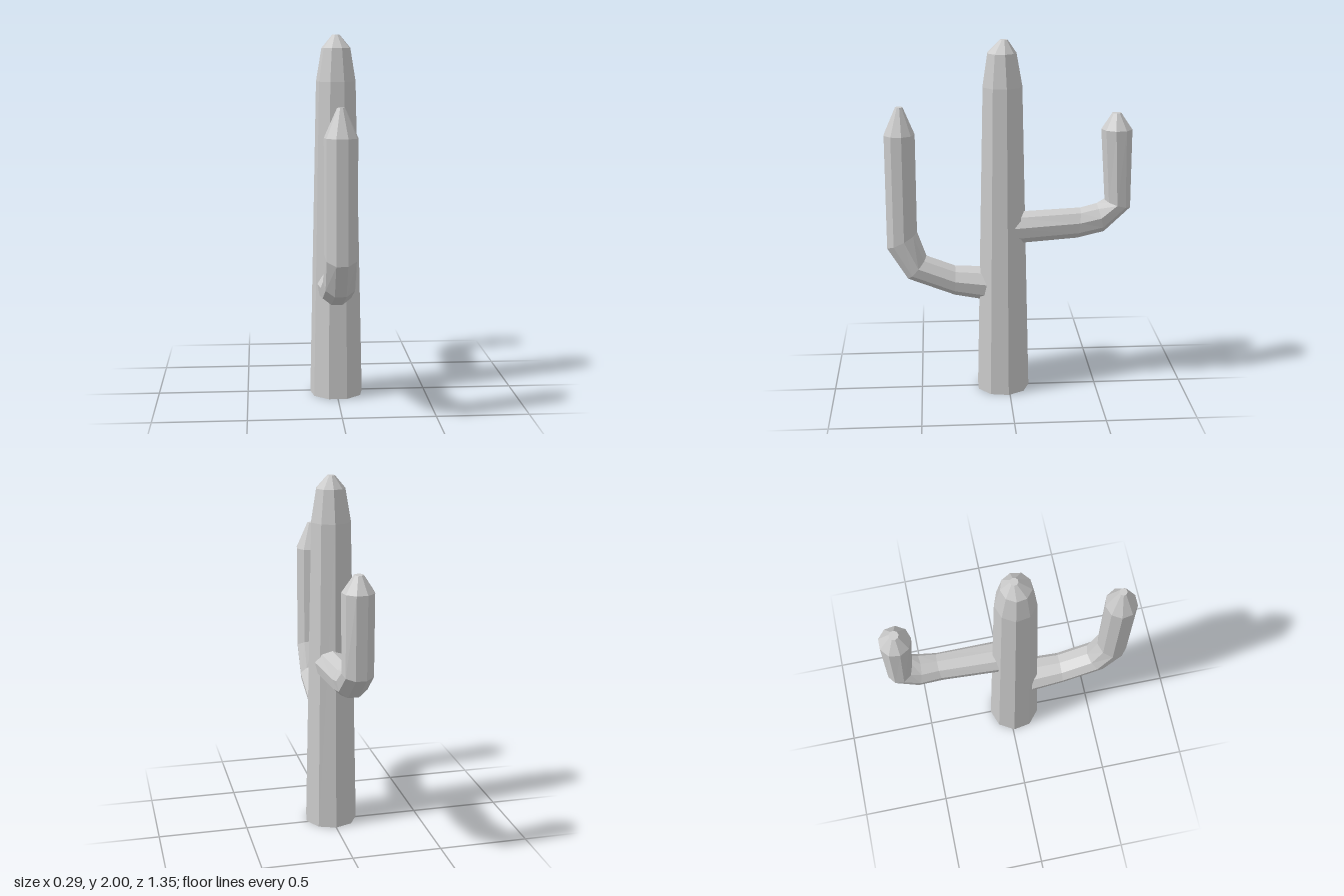
import * as THREE from 'three';

const SIDES = 9;
const FLAT = Math.cos(Math.PI / SIDES); // apothem of a unit ring

// Each ring: [outer z, outer y, inner z, inner y, centre x, half width].
// The outer point is the middle of a flat side, the inner point a corner.
function makeLimb(name, rings, dir, material) {
  const loops = rings.map(([oz, oy, iz, iy, cx, r]) => {
    const t = FLAT / (1 + FLAT);
    const dz = (iz - oz) / (1 + FLAT), dy = (iy - oy) / (1 + FLAT);
    const cz = oz + (iz - oz) * t, cy = oy + (iy - oy) * t;
    const points = [];
    for (let i = 0; i < SIDES; i++) {
      const a = (i / SIDES) * Math.PI * 2;
      const c = Math.cos(a);
      points.push(new THREE.Vector3(cx + dir * r * Math.sin(a), cy + dy * c, cz + dz * c));
    }
    return points;
  });

  const tris = [];
  for (let k = 0; k < loops.length - 1; k++) {
    const a = loops[k], b = loops[k + 1];
    for (let i = 0; i < SIDES; i++) {
      const j = (i + 1) % SIDES;
      tris.push(a[i], a[j], b[j], a[i], b[j], b[i]);
    }
  }
  // End caps
  const first = loops[0], last = loops[loops.length - 1];
  for (let i = 1; i < SIDES - 1; i++) {
    tris.push(first[0], first[i + 1], first[i]);
    tris.push(last[0], last[i], last[i + 1]);
  }

  const geometry = new THREE.BufferGeometry().setFromPoints(tris);
  geometry.computeVertexNormals();
  const mesh = new THREE.Mesh(geometry, material);
  mesh.name = name;
  return mesh;
}

export function createModel() {
  const group = new THREE.Group();
  group.name = 'cactus';
  const material = new THREE.MeshStandardMaterial({ color: 0xcccccc, flatShading: true });

  // Tapered trunk with a blunt tip
  group.add(makeLimb('trunk', [
    [0.175, 0, -0.116, 0, 0, 0.149],
    [0.138, 1.75, -0.075, 1.75, -0.002, 0.11],
    [0.112, 1.93, -0.043, 1.93, -0.002, 0.08],
    [0.046, 2, 0.005, 2, -0.002, 0.021],
  ], -1, material));

  // Low arm reaching forward, then up
  group.add(makeLimb('frontArm', [
    [0.12, 0.535, 0.12, 0.725, -0.012, 0.1],
    [0.305, 0.568, 0.3, 0.732, -0.015, 0.089],
    [0.565, 0.67, 0.46, 0.795, -0.014, 0.088],
    [0.677, 0.85, 0.51, 0.935, -0.014, 0.088],
    [0.677, 1.49, 0.51, 1.49, -0.014, 0.088],
    [0.612, 1.64, 0.572, 1.64, -0.014, 0.021],
  ], -1, material));

  // High arm reaching back, then up
  group.add(makeLimb('backArm', [
    [-0.03, 0.875, -0.03, 1.05, 0.015, 0.088],
    [-0.38, 0.9, -0.4, 1.068, 0.015, 0.077],
    [-0.53, 0.935, -0.49, 1.09, 0.01, 0.088],
    [-0.675, 1.07, -0.535, 1.11, 0.007, 0.085],
    [-0.675, 1.51, -0.508, 1.51, 0.005, 0.086],
    [-0.616, 1.598, -0.566, 1.598, 0.003, 0.026],
  ], 1, material));

  return group;
}
